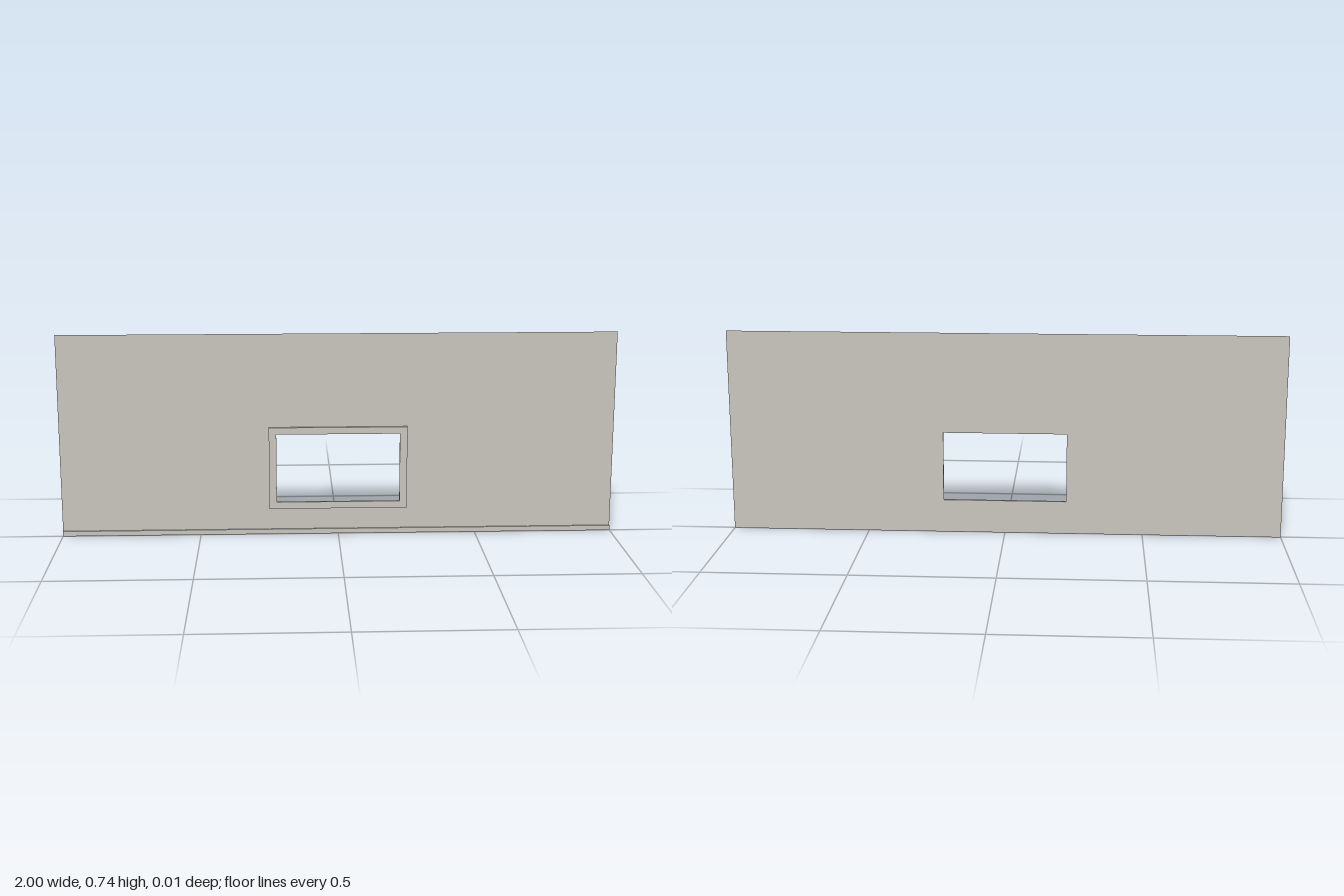
import * as THREE from 'three';

const BACK = -0.0045; // plane of the wall sheet

// Rectangle outline from its corners
function rect(Target, x0, y0, x1, y1) {
  const r = new Target();
  r.moveTo(x0, y0);
  r.lineTo(x1, y0);
  r.lineTo(x1, y1);
  r.lineTo(x0, y1);
  r.closePath();
  return r;
}

// Rectangle with the window opening cut out
function withOpening(x0, y0, x1, y1) {
  const shape = rect(THREE.Shape, x0, y0, x1, y1);
  shape.holes.push(rect(THREE.Path, -0.223, 0.121, 0.223, 0.373));
  return shape;
}

export function createModel() {
  const group = new THREE.Group();
  const plaster = new THREE.MeshStandardMaterial({ color: 0xcac6be, side: THREE.DoubleSide });
  plaster.name = 'warm grey plaster';

  const add = (name, geometry, y = 0, z = BACK) => {
    const mesh = new THREE.Mesh(geometry, plaster);
    mesh.name = name;
    mesh.position.set(0, y, z);
    group.add(mesh);
  };

  // Thin wall sheet with the window opening
  add('wall', new THREE.ShapeGeometry(withOpening(-1, 0, 1, 0.738)));

  // Raised frame around the opening
  add('windowFrame', new THREE.ExtrudeGeometry(withOpening(-0.25, 0.096, 0.25, 0.398),
    { depth: 0.009, bevelEnabled: false }));

  // Skirting strip along the foot of the wall
  add('skirtingBoard', new THREE.BoxGeometry(2, 0.018, 0.006), 0.009, BACK + 0.003);

  return group;
}
